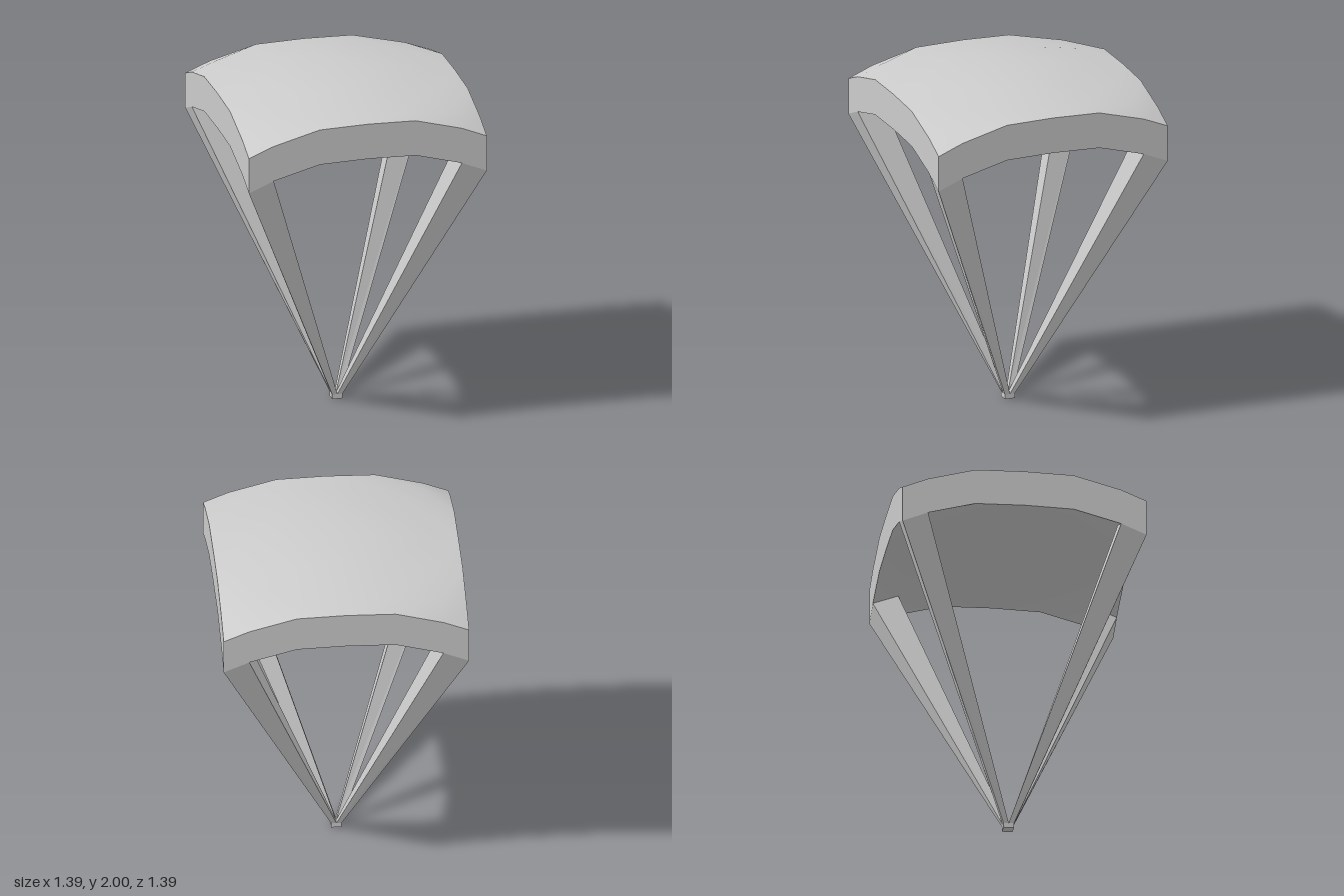
import * as THREE from 'three';

const HALF = 0.695, THICK = 0.21, INNER = 0.55;
const KNOTS = [0, 0.28, INNER, HALF];
// Canopy height at each pair of knots; the same in all four quadrants
const HEIGHT = [
  [2.0, 1.985, 1.938, 1.91],
  [1.985, 1.97, 1.925, 1.903],
  [1.938, 1.925, 1.885, 1.83],
  [1.91, 1.903, 1.83, 1.77],
];
const STEPS = [-3, -2, -1, 0, 1, 2, 3];
const at = (i) => Math.sign(i) * KNOTS[Math.abs(i)];
const top = (i, j) => HEIGHT[Math.abs(i)][Math.abs(j)];

// Surface through rows of points, each quad split along its more level diagonal
function sheet(rows) {
  const cols = rows[0].length, index = [];
  for (let i = 0; i < rows.length - 1; i++) {
    for (let j = 0; j < cols - 1; j++) {
      const a = i * cols + j, b = a + 1, d = a + cols, c = d + 1;
      const ac = Math.abs(rows[i][j][1] - rows[i + 1][j + 1][1]);
      const bd = Math.abs(rows[i][j + 1][1] - rows[i + 1][j][1]);
      if (ac < bd) index.push(a, d, c, a, c, b);
      else index.push(a, d, b, d, c, b);
    }
  }
  const geo = new THREE.BufferGeometry();
  geo.setAttribute('position', new THREE.Float32BufferAttribute(rows.flat(2), 3));
  geo.setIndex(index);
  geo.computeVertexNormals();
  return geo;
}

export function createModel() {
  const model = new THREE.Group();
  model.name = 'parachute';
  const smooth = new THREE.MeshStandardMaterial({ color: 0xcccccc });
  const flat = new THREE.MeshStandardMaterial({ color: 0xcccccc, flatShading: true });
  const add = (name, geo, material, turn = 0) => {
    const mesh = new THREE.Mesh(geo, material);
    mesh.name = name;
    mesh.rotation.y = turn;
    model.add(mesh);
  };

  // Domed canopy: upper skin and the parallel underside
  add('canopyTop', sheet(STEPS.map((k) =>
    STEPS.map((i) => [at(i), top(i, k), at(k)]))), smooth);
  add('canopyUnderside', sheet(STEPS.map((k) =>
    STEPS.map((i) => [-at(i), top(i, k) - THICK, at(k)]))), smooth);

  // One side of the rim, and one tapering corner strap
  const rim = sheet([0, THICK].map((drop) =>
    STEPS.map((i) => [at(i), top(i, 3) - drop, HALF])));
  const corners = [[2, 3], [3, 3], [3, 2], [2, 2], [2, 3]];
  const strap = sheet([
    corners.map(([i, k]) => [at(i), top(i, k) - THICK, at(k)]),
    corners.map(([i, k]) => [i === 3 ? 0.03 : 0, 0.028, k === 3 ? 0.03 : 0]),
  ]);
  for (let q = 0; q < 4; q++) {
    add('canopyRim', rim, flat, q * Math.PI / 2);
    add('strap', strap, flat, q * Math.PI / 2);
  }

  // Small block where the straps meet
  const block = new THREE.BoxGeometry(0.06, 0.028, 0.06).translate(0, 0.014, 0);
  add('strapJoint', block, flat);
  return model;
}
